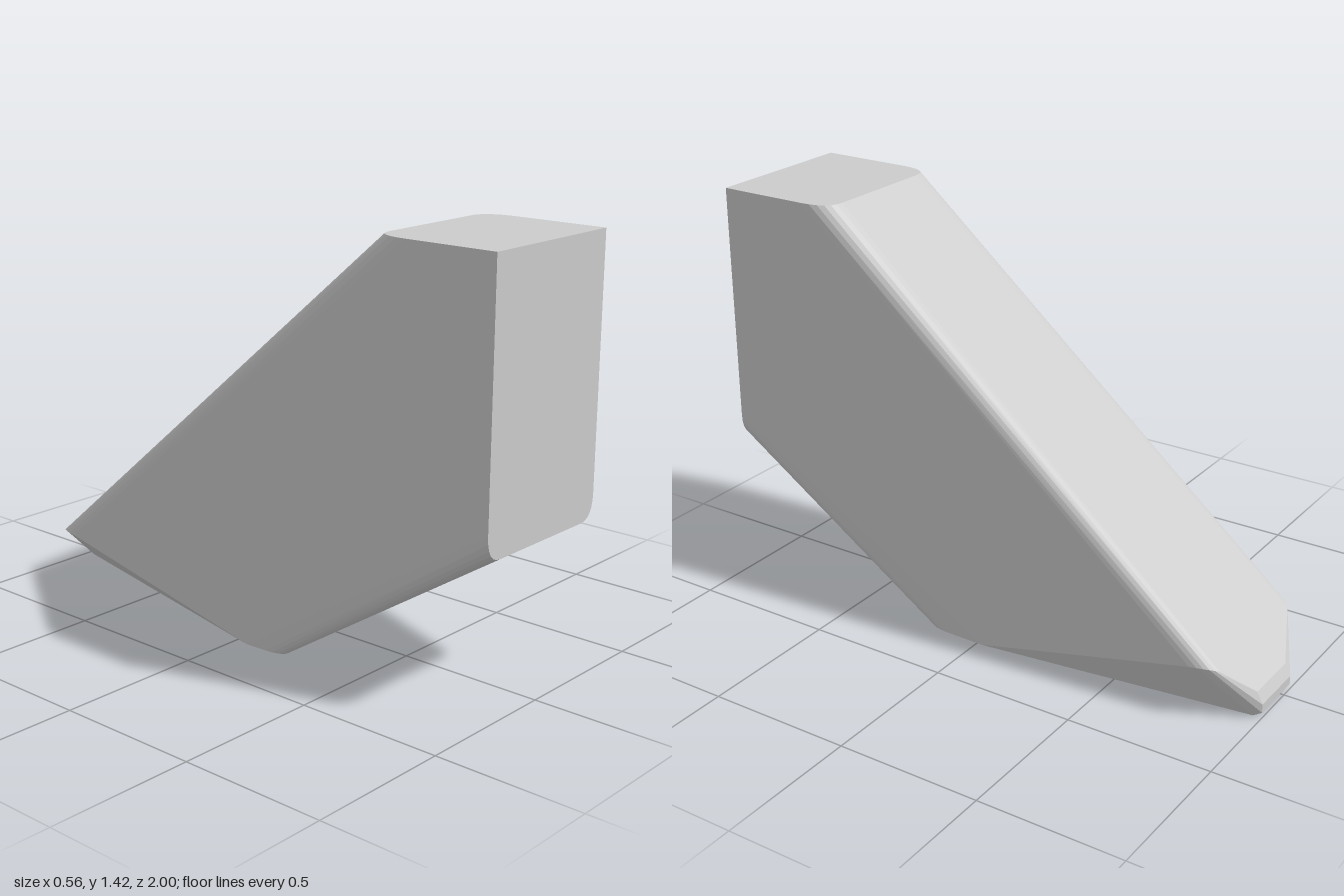
import * as THREE from 'three';
import { ConvexGeometry } from 'three/addons/geometries/ConvexGeometry.js';

const STEPS = 6;

// Points along a rounded corner from a to b, pulled towards the sharp corner c
function corner(a, c, b) {
  const v = (p) => new THREE.Vector3(...p);
  return new THREE.QuadraticBezierCurve3(v(a), v(c), v(b)).getPoints(STEPS);
}

export function createModel() {
  const grey = new THREE.MeshStandardMaterial({ color: 0xcccccc });
  grey.name = 'grey';
  grey.flatShading = true;

  const points = [];
  for (const s of [1, -1]) {
    // Front face: sharp top corner, rounded bottom corner
    points.push(new THREE.Vector3(s * 0.275, 1.42, 1));
    points.push(...corner([s * 0.275, 0.6, 1], [s * 0.275, 0.515, 1], [s * 0.21, 0.515, 1]));
    // Top face: rounded back corner
    points.push(...corner([s * 0.275, 1.42, 0.68], [s * 0.275, 1.42, 0.565], [s * 0.2, 1.42, 0.565]));
    // Base: rounded front corner and start of the lower bevel
    points.push(...corner([s * 0.275, 0, 0.1], [s * 0.275, 0, 0.2], [s * 0.24, 0, 0.2]));
    points.push(new THREE.Vector3(s * 0.277, 0, s > 0 ? -0.02 : 0.05));
    // Lower end of the rounded slope edge
    points.push(...corner([s * 0.28, 0.18, -0.8], [s * 0.275, 0.19, -0.88], [s * 0.225, 0.165, -0.893]));
    // Narrow, slightly off-centre tip with a rounded nose
    const x = s > 0 ? 0.16 : -0.04;
    for (const [y, z] of [[0.09, -0.98], [0.05, -1], [0.02, -1], [0, -0.97]]) {
      points.push(new THREE.Vector3(x, y, z));
    }
  }

  const block = new THREE.Mesh(new ConvexGeometry(points), grey);
  block.name = 'wedgeBlock';

  const group = new THREE.Group();
  group.name = 'bevelledWedge';
  group.add(block);
  return group;
}
